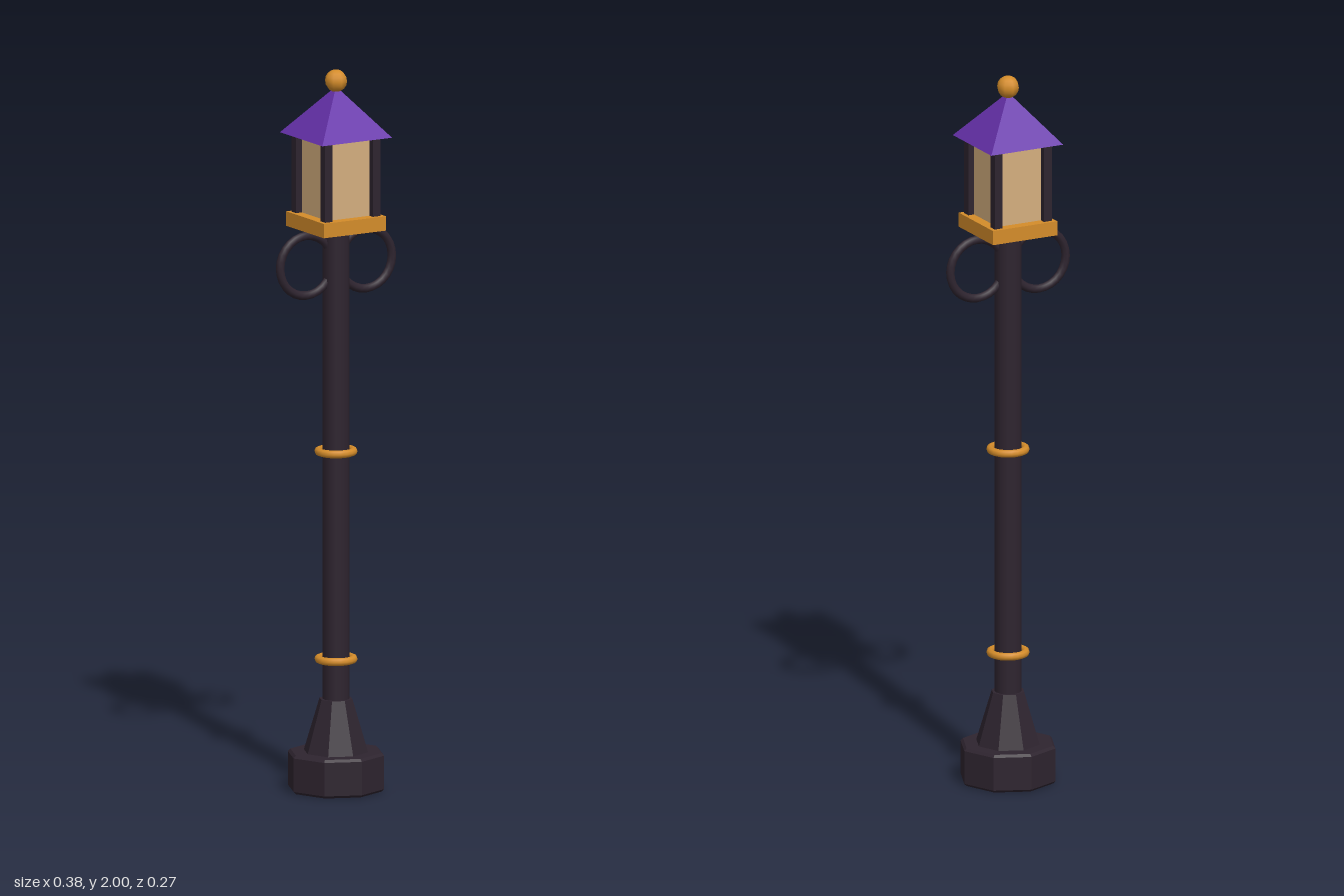
import * as THREE from 'three';
import { toCreasedNormals } from 'three/addons/utils/BufferGeometryUtils.js';

export function createModel() {
  const model = new THREE.Group();
  model.name = 'streetLamp';

  const mat = (name, color) => {
    const m = new THREE.MeshStandardMaterial({ color });
    m.name = name;
    return m;
  };
  const iron = mat('darkIron', 0x2e242f);
  const gold = mat('gold', 0xd48c2a);
  const purple = mat('purpleRoof', 0x6631aa);
  const glass = mat('warmGlass', 0xd4ae7e);

  const add = (name, geometry, material, x = 0, y = 0, z = 0) => {
    const mesh = new THREE.Mesh(geometry, material);
    mesh.name = name;
    mesh.position.set(x, y, z);
    model.add(mesh);
    return mesh;
  };
  const lathe = (points, sides) => toCreasedNormals(
    new THREE.LatheGeometry(points.map(([r, y]) => new THREE.Vector2(r, y)), sides), 0.5);

  // Octagonal foot with a small bevel, and the tapered collar above it
  add('foot', lathe([[0, 0], [0.128, 0], [0.135, 0.007], [0.135, 0.1], [0.128, 0.107], [0, 0.107]], 8), iron);
  add('collar', lathe([[0.09, 0.107], [0.046, 0.253], [0, 0.253]], 8), iron);

  // Pole and its two gold bands
  add('pole', new THREE.CylinderGeometry(0.037, 0.037, 1.32, 12), iron, 0, 0.9, 0);
  for (const y of [0.363, 0.94]) {
    add('band', new THREE.TorusGeometry(0.048, 0.011, 8, 20), gold, 0, y, 0).rotation.x = Math.PI / 2;
  }

  // Round scrolls on either side under the lantern
  for (const side of [-1, 1]) {
    add('scroll', new THREE.TorusGeometry(0.083, 0.012, 8, 28), iron, side * 0.095, 1.465, 0);
  }

  // Lantern: tray, glass box and four corner posts
  add('tray', new THREE.BoxGeometry(0.198, 0.04, 0.198), gold, 0, 1.579, 0);
  add('glassBox', new THREE.BoxGeometry(0.14, 0.222, 0.14), glass, 0, 1.709, 0);
  for (const x of [-0.076, 0.076]) {
    for (const z of [-0.076, 0.076]) {
      add('cornerPost', new THREE.BoxGeometry(0.024, 0.222, 0.024), iron, x, 1.709, z);
    }
  }

  // Pyramid roof and ball finial
  const roof = toCreasedNormals(new THREE.ConeGeometry(0.111 * Math.SQRT2, 0.135, 4), 0.3);
  add('roof', roof, purple, 0, 1.8855, 0).rotation.y = Math.PI / 4;
  add('finial', new THREE.SphereGeometry(0.031, 8, 8), gold, 0, 1.969, 0);

  return model;
}
